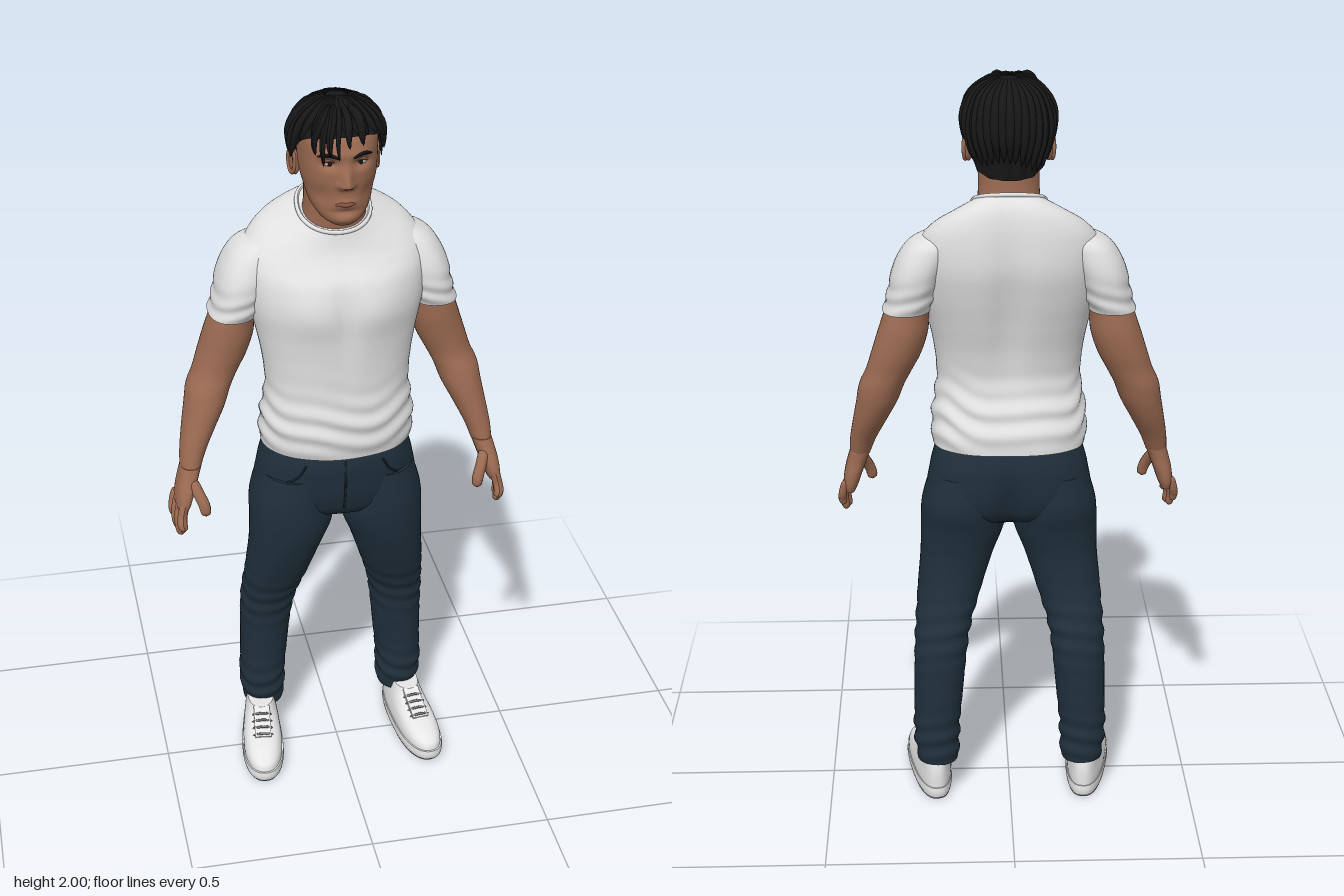
import * as THREE from 'three';

const V = (x, y, z) => new THREE.Vector3(x, y, z);
const gauss = (d, s) => Math.exp(-(d * d) / (s * s));
const mat = (name, color) => Object.assign(new THREE.MeshStandardMaterial({ color }), { name });

// Smooth interpolation of table rows, keyed by their first number (ascending)
function sample(rows, k) {
  const n = rows.length - 1;
  let i = 0;
  while (i < n - 1 && k > rows[i + 1][0]) i++;
  const a = rows[i], b = rows[i + 1], h = b[0] - a[0];
  const t = Math.min(1, Math.max(0, (k - a[0]) / h));
  const p = rows[Math.max(0, i - 1)], q = rows[Math.min(n, i + 2)];
  return a.map((_, c) => {
    const ma = (b[c] - p[c]) / (b[0] - p[0]) * h, mb = (q[c] - a[c]) / (q[0] - a[0]) * h;
    const t2 = t * t, t3 = t2 * t;
    return (2 * t3 - 3 * t2 + 1) * a[c] + (t3 - 2 * t2 + t) * ma + (3 * t2 - 2 * t3) * b[c] + (t3 - t2) * mb;
  });
}

// Skin a list of closed rows of points, bottom to top
function skin(rows) {
  const nu = rows[0].length, pos = [], idx = [];
  rows.forEach(r => r.forEach(p => pos.push(p.x, p.y, p.z)));
  for (let i = 0; i < rows.length - 1; i++) for (let j = 0; j < nu; j++) {
    const A = i * nu + j, B = i * nu + (j + 1) % nu;
    idx.push(A, B, A + nu, B, B + nu, A + nu);
  }
  const g = new THREE.BufferGeometry();
  g.setAttribute('position', new THREE.Float32BufferAttribute(pos, 3));
  g.setIndex(idx);
  g.computeVertexNormals();
  return g;
}

// Horizontal section point; rows are [y, centreX, halfWidth, zFront, zBack]
function point(rows, y, a, nf, nb, deform) {
  const [, cx, rx, zf, zb] = sample(rows, y);
  const s = Math.sin(a), c = Math.cos(a), e = 2 / (c > 0 ? nf : nb);
  const p = V(cx + rx * Math.sign(s) * Math.abs(s) ** e, y,
    (zf + zb) / 2 + (zf - zb) / 2 * Math.sign(c) * Math.abs(c) ** e);
  if (deform) deform(p, a, cx);
  return p;
}

// Closed body lofted through the sections
function loft(rows, { nu = 40, nv = 40, nf = 2.1, nb = 2.1, deform } = {}) {
  const y0 = rows[0][0], y1 = rows[rows.length - 1][0], out = [];
  for (let i = 0; i <= nv; i++) {
    const y = y0 + (y1 - y0) * i / nv, r = [];
    for (let j = 0; j < nu; j++) r.push(point(rows, y, j / nu * Math.PI * 2, nf, nb, deform));
    out.push(r);
  }
  const cap = r => {
    const m = r.reduce((s, p) => s.add(p), V(0, 0, 0)).divideScalar(nu);
    return r.map(() => m.clone());
  };
  const lo = out[0], hi = out[nv];
  return skin([cap(lo), lo, ...out, hi, cap(hi)]);
}

// Tube whose radius follows a profile along its length
function tube(pts, r, profile = () => 1, seg = 14, closed = false) {
  const path = new THREE.CatmullRomCurve3(pts, closed);
  const g = new THREE.TubeGeometry(path, seg, r, 8, closed), p = g.attributes.position, v = V(0, 0, 0);
  for (let i = 0; i < p.count; i++) {
    const t = Math.floor(i / 9) / seg, c = path.getPointAt(t);
    v.fromBufferAttribute(p, i).sub(c).multiplyScalar(profile(t)).add(c);
    p.setXYZ(i, v.x, v.y, v.z);
  }
  g.computeVertexNormals();
  return g;
}
const round = t => Math.sqrt(Math.max(0, 1 - Math.abs(2 * t - 1) ** 7));
const taper = t => Math.sin(Math.PI * Math.min(1, t * 0.92 + 0.08)) ** 0.6;
const ball = (x, y, z, sx, sy, sz) => new THREE.SphereGeometry(1, 20, 14).scale(sx, sy, sz).translate(x, y, z);

function mirrored(g) {
  const m = g.clone().scale(-1, 1, 1), ix = m.index;
  for (let i = 0; i < ix.count; i += 3) {
    const a = ix.getX(i);
    ix.setX(i, ix.getX(i + 1));
    ix.setX(i + 1, a);
  }
  return m;
}

export function createModel() {
  const root = new THREE.Group();
  root.name = 'standingMan';
  const skinTone = mat('skin', 0x9c6b52), white = mat('shirtWhite', 0xe0e0e0), denim = mat('denim', 0x20303c);
  const seam = mat('denimSeam', 0x17232d), black = mat('hairBlack', 0x171717), lip = mat('lip', 0x86503f);
  const eyeWhite = mat('eyeWhite', 0xc9c0b8), shoeWhite = mat('shoeWhite', 0xe6e6e6), grey = mat('soleGrey', 0x7d7d7d);
  black.side = THREE.DoubleSide;
  const add = (name, g, m) => {
    const mesh = new THREE.Mesh(g, m);
    mesh.name = name;
    root.add(mesh);
  };
  const pair = (name, g, m) => {
    add(name + 'Left', g, m);
    add(name + 'Right', mirrored(g), m);
  };
  const push = (p, a, d) => { p.x += Math.sin(a) * d; p.z += Math.cos(a) * d; };

  // Shirt body with chest, spine groove, waist folds and a sloping neckline
  const tilt = p => { p.y -= (p.z + 0.035) * 0.4 * THREE.MathUtils.smoothstep(p.y, 1.5, 1.67); };
  const shirt = [[1.02, 0, .205, .137, -.165], [1.06, 0, .208, .146, -.165], [1.12, 0, .203, .145, -.145],
    [1.2, 0, .192, .136, -.122], [1.28, 0, .198, .136, -.13], [1.36, 0, .213, .138, -.15], [1.44, 0, .232, .138, -.17],
    [1.52, 0, .24, .12, -.184], [1.58, 0, .232, .09, -.179], [1.62, 0, .195, .07, -.167], [1.65, 0, .14, .06, -.15],
    [1.678, 0, .09, .053, -.125]];
  const shape = (p, a) => {
    const y = p.y, x = Math.abs(p.x);
    if (Math.cos(a) > 0) p.z += .012 * gauss(x - .09, .07) * gauss(y - 1.45, .07) - .008 * gauss(x, .025) * gauss(y - 1.42, .14);
    else p.z += .022 * gauss(x, .04) * gauss(y - 1.42, .2);
    push(p, a, .0045 * Math.sin(y * 105 + 2.5 * Math.sin(2 * a + 1) + Math.sin(5 * a)) * gauss(y - 1.11, .08));
    tilt(p);
  };
  add('shirtBody', loft(shirt, { nu: 72, nv: 80, nb: 2.5, deform: shape }), white);
  const rim = [];
  for (let i = 0; i < 24; i++) rim.push(point(shirt, 1.676, i / 24 * Math.PI * 2, 2.1, 2.5, tilt));
  add('shirtCollar', tube(rim, .006, () => 1, 60, true), white);

  // Sleeves and arms
  pair('sleeve', loft([[1.398, .268, .063, .036, -.148], [1.44, .254, .064, .045, -.156], [1.5, .238, .068, .045, -.162],
    [1.55, .217, .067, .03, -.155], [1.585, .195, .058, .01, -.14], [1.61, .17, .03, -.02, -.1]],
  { nf: 2.3, nb: 2.3, deform: (p, a) => push(p, a, .003 * Math.sin(p.y * 130 + 3 * Math.sin(a)) * gauss(p.y - 1.43, .04)) }), white);
  pair('arm', loft([[.975, .402, .028, .053, -.03], [1.02, .392, .035, .046, -.05], [1.08, .372, .045, .038, -.083],
    [1.14, .351, .055, .03, -.108], [1.19, .337, .06, .02, -.12], [1.23, .318, .061, .01, -.125], [1.28, .297, .066, .012, -.135],
    [1.34, .278, .066, .018, -.14], [1.4, .265, .058, .02, -.135], [1.48, .235, .055, .02, -.13]]), skinTone);

  // Hands: palm, four fingers and thumb
  pair('palm', loft([[.865, .43, .014, .075, -.022], [.885, .428, .021, .086, -.03], [.92, .42, .025, .08, -.033],
    [.95, .411, .027, .066, -.031], [.985, .4, .028, .053, -.033]], { nv: 20, nf: 2.5, nb: 2.5 }), skinTone);
  [[.073, .82], [.044, .793], [.014, .797], [-.013, .822]].forEach(([z, tip], i) => {
    const x = .428 + i * .005;
    pair('finger' + (i + 1), tube([V(x - .002, .9, z), V(x + .008, .86, z + .006), V(x + .01, (tip + .86) / 2, z + .015),
      V(x + .004, tip, z + .02)], .0135 - i * .0008, round, 16), skinTone);
  });
  pair('thumb', tube([V(.405, .955, .045), V(.388, .92, .075), V(.376, .89, .09), V(.373, .862, .094)], .0155, round), skinTone);

  // Jeans: seat, legs and stitched seams
  const seat = [[.785, 0, .08, .02, -.06], [.82, 0, .19, .085, -.13], [.87, 0, .222, .113, -.16], [.95, 0, .213, .128, -.168],
    [1, 0, .2, .13, -.162], [1.05, 0, .185, .12, -.148]];
  add('jeansSeat', loft(seat, { nu: 64, nf: 2.2, nb: 2.5, deform: (p, a) => {
    if (Math.cos(a) < 0) p.z += .03 * gauss(p.x, .025) * gauss(p.y - .86, .08);
  } }), denim);
  pair('jeansLeg', loft([[.105, .2, .056, -.04, -.168], [.15, .202, .061, -.026, -.172], [.2, .203, .063, -.02, -.172],
    [.3, .197, .067, -.018, -.172], [.42, .19, .072, -.006, -.17], [.5, .182, .076, .014, -.156], [.6, .163, .088, .055, -.13],
    [.7, .142, .1, .088, -.125], [.78, .126, .114, .106, -.137], [.85, .122, .114, .112, -.155], [.94, .11, .1, .11, -.15]],
  { nu: 44, nv: 90, nf: 2.2, nb: 2.2, deform: (p, a) => push(p, a, Math.sin(p.y * 120 + 2.5 * Math.sin(a + 1)) *
    (.004 * gauss(p.y - .17, .07) + .003 * gauss(p.y - .49, .08))) }), denim);
  const onSeat = (y, a) => point(seat, y, a, 2.2, 2.5);
  add('jeansFly', tube([1.01, .95, .9, .85].map(y => onSeat(y, 0)), .003), seam);
  pair('frontPocketSeam', tube([onSeat(1, .5), onSeat(.96, .6), onSeat(.93, .85), onSeat(.92, 1.15)], .003), seam);

  // Sneakers: grey tread, sole, upper, tongue and laces; toes turned out
  const place = g => g.translate(0, 0, .05).rotateY(.12).translate(.216, 0, -.05);
  const foot = p => { p.x *= 1 + p.z * .9; };
  const shoe = (name, rows, m, nv = 8) => pair(name, place(loft(rows, { nu: 48, nv, nf: 2.3, nb: 2.6, deform: foot })), m);
  shoe('shoeTread', [[0, 0, .053, .18, -.168], [.008, 0, .055, .185, -.172]], grey, 2);
  shoe('shoeSole', [[.008, 0, .056, .187, -.173], [.02, 0, .058, .19, -.175], [.036, 0, .057, .189, -.174]], shoeWhite);
  shoe('shoeUpper', [[.034, 0, .054, .184, -.171], [.055, 0, .054, .175, -.171], [.075, 0, .051, .14, -.17],
    [.09, 0, .048, .088, -.168], [.11, 0, .044, .035, -.164], [.132, 0, .04, .006, -.157]], shoeWhite, 24);
  pair('shoeTongue', place(new THREE.BoxGeometry(.046, .012, .1).rotateX(.42).translate(0, .107, .045)), shoeWhite);
  for (let i = 0; i < 4; i++) {
    const z = .088 - i * .02, y = .096 + i * .009;
    pair('lace' + (i + 1), place(tube([V(-.03, y - .008, z - .008), V(0, y + .003, z), V(.03, y - .008, z - .008)], .0035, round)), grey);
  }

  // Neck and sculpted head
  add('neck', loft([[1.58, 0, .1, .03, -.14], [1.64, 0, .087, .043, -.125], [1.7, 0, .08, .05, -.104], [1.78, 0, .08, .06, -.1]]), skinTone);
  const face = (p, a) => {
    if (Math.cos(a) <= 0) return;
    const x = Math.abs(p.x), y = p.y;
    p.z += .029 * gauss(x, .014) * gauss(y - 1.803, y > 1.803 ? .036 : .012) + .009 * gauss(x - .014, .009) * gauss(y - 1.798, .01)
      - .014 * gauss(x - .04, .022) * gauss(y - 1.853, .014) + .005 * gauss(x - .03, .035) * gauss(y - 1.877, .012)
      + .006 * gauss(x, .026) * gauss(y - 1.747, .013) - .005 * gauss(x, .03) * gauss(y - 1.725, .008)
      + .005 * gauss(x, .025) * gauss(y - 1.703, .014) - .006 * gauss(x - .06, .02) * gauss(y - 1.765, .025);
  };
  add('head', loft([[1.683, 0, .032, .105, .02], [1.7, 0, .056, .12, -.02], [1.73, 0, .076, .122, -.06], [1.77, 0, .088, .123, -.095],
    [1.81, 0, .097, .127, -.11], [1.86, 0, .1, .129, -.12], [1.91, 0, .099, .12, -.118], [1.95, 0, .08, .09, -.095],
    [1.975, 0, .04, .045, -.05]], { nu: 112, nv: 90, nf: 2.25, deform: face }), skinTone);
  pair('ear', ball(0, 0, 0, .011, .034, .021).rotateY(-.3).translate(.103, 1.812, -.02), skinTone);
  pair('earRim', new THREE.TorusGeometry(.02, .005, 8, 20).scale(.9, 1.5, 1).rotateY(Math.PI / 2 - .3).translate(.111, 1.815, -.021), skinTone);
  pair('eye', ball(.04, 1.853, .1, .017, .008, .013), eyeWhite);
  pair('iris', ball(.039, 1.853, .1095, .0065, .007, .005), black);
  pair('upperLid', tube([V(.022, 1.855, .112), V(.04, 1.863, .115), V(.058, 1.855, .104)], .004, round), skinTone);
  pair('eyebrow', tube([V(.017, 1.871, .131), V(.042, 1.88, .125), V(.07, 1.871, .102)], .005, taper), black);
  add('lips', tube([V(-.027, 1.745, .119), V(-.01, 1.748, .127), V(0, 1.746, .1275), V(.01, 1.748, .127), V(.027, 1.745, .119)], .006, taper), lip);

  // Hair shell with a hairline that drops from brow to nape
  const hairline = [[-1, 1.745], [-.75, 1.755], [-.45, 1.79], [-.18, 1.845], [.06, 1.82], [.25, 1.87], [.5, 1.905], [1, 1.925]];
  const hair = (a, t, lift = 0) => {
    const c = Math.cos(a), hem = sample(hairline, c)[1];
    const y = 1.99 - (1.99 - hem) * (1 - Math.cos(t * Math.PI / 2)), d = (y - 1.86) / .13;
    const k = (d > 0 ? Math.sqrt(Math.max(0, 1 - d * d)) : 1 + d * .17) * (1 + .025 * Math.sin(17 * a + 7 * t)) + lift;
    return V(.118 * k * Math.sin(a), y + lift * .04, (c > 0 ? .148 : .133) * k * c);
  };
  const shell = [];
  for (let i = 24; i >= 0; i--) {
    const r = [];
    for (let j = 0; j < 96; j++) r.push(hair(j / 96 * Math.PI * 2, i / 24));
    shell.push(r);
  }
  add('hairShell', skin(shell), black);

  // Swept locks over the shell
  for (let i = 0; i < 30; i++) {
    const a = i / 30 * Math.PI * 2, s = Math.sin(i * 12.9), end = .95 + .07 * s;
    const pts = [.12, .4, .7, end].map((t, k) => hair(a + .13 * k * (a < Math.PI ? 1 : -1) * Math.abs(Math.sin(a)), t, .015 + .02 * Math.abs(s)));
    add('hairLock' + (i + 1), tube(pts, .013, taper), black);
  }
  // Loose fringe falling over one side of the brow
  [[-.062, 1.862, .152, .009], [-.045, 1.885, .156, .011], [-.078, 1.885, .13, .011], [-.022, 1.872, .148, .007], [.005, 1.9, .146, .01],
    [.04, 1.905, .138, .012]].forEach(([x, y, z, r], i) => add('fringe' + (i + 1),
    tube([V(x * .4, 1.985, .06), V(x * .8, 1.968, .125), V(x - .004, 1.925, z + .004), V(x, y, z)], r, taper), black));
  return root;
}
